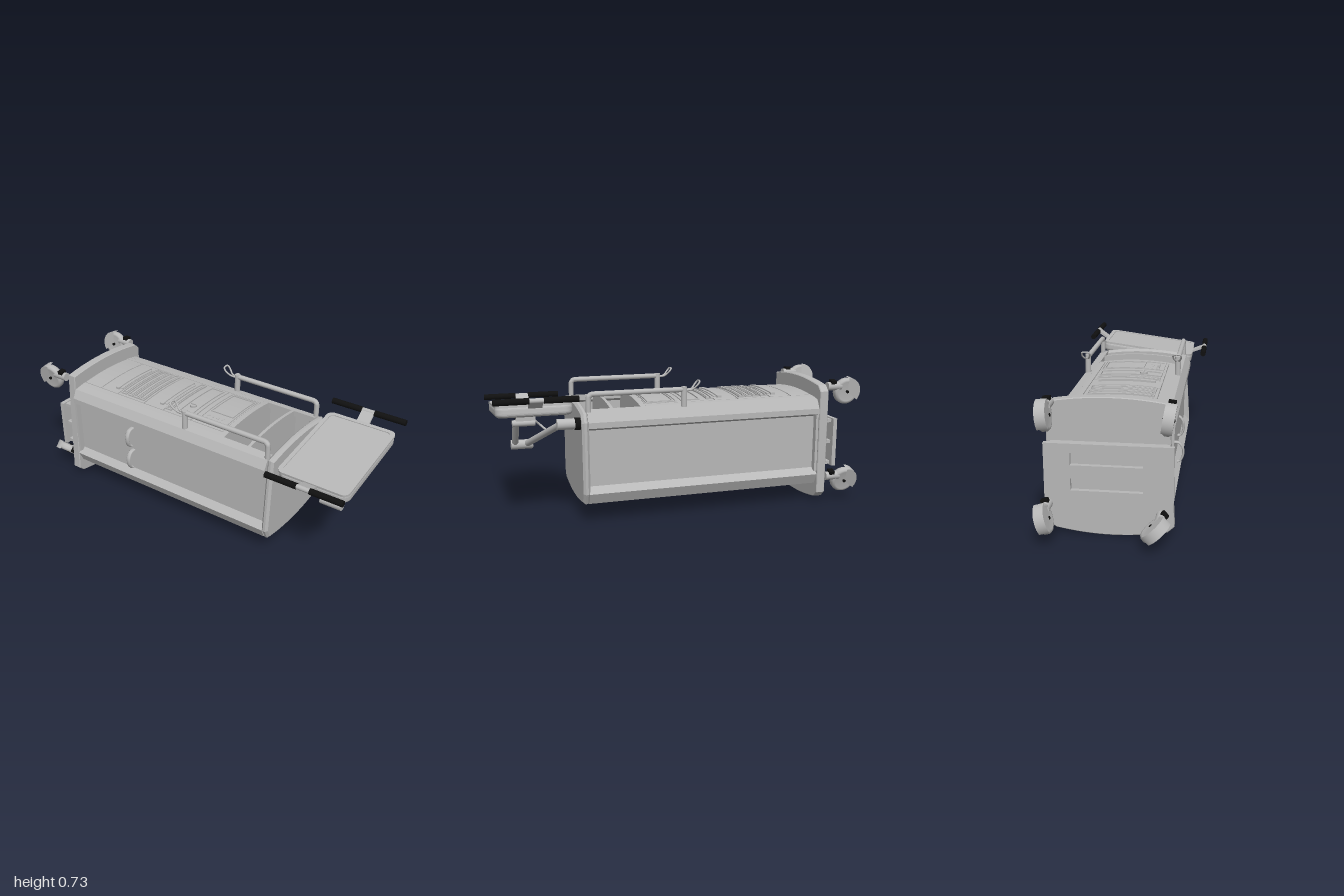
import * as THREE from 'three';

const grey = new THREE.MeshStandardMaterial({ color: 0xb8b8b8 });
grey.name = 'light grey';
const black = new THREE.MeshStandardMaterial({ color: 0x101010 });
black.name = 'black';

const V = (x, y, z) => new THREE.Vector3(x, y, z);

function add(parent, name, geo, mat = grey, x = 0, y = 0, z = 0) {
  const m = new THREE.Mesh(geo, mat);
  m.name = name;
  m.position.set(x, y, z);
  parent.add(m);
  return m;
}
const box = (p, name, w, h, d, x, y, z, mat) => add(p, name, new THREE.BoxGeometry(w, h, d), mat, x, y, z);

// straight round bar between two points
function bar(p, name, a, b, r, mat = grey, r2 = r) {
  const d = b.clone().sub(a);
  const m = add(p, name, new THREE.CylinderGeometry(r2, r, d.length(), 20), mat);
  m.position.copy(a).addScaledVector(d, 0.5);
  m.quaternion.setFromUnitVectors(V(0, 1, 0), d.normalize());
  return m;
}

// bowed cross-section with cut corners: half width, corner half width, bottom/top crowns, shoulders
function outline(hw, cw, yB, yBs, yL, yU, yTs, yT) {
  const s = new THREE.Shape();
  s.moveTo(-hw, yL);
  s.lineTo(-cw, yBs);
  s.quadraticCurveTo(0, 2 * yB - yBs, cw, yBs);
  s.lineTo(hw, yL);
  s.lineTo(hw, yU);
  s.lineTo(cw, yTs);
  s.quadraticCurveTo(0, 2 * yT - yTs, -cw, yTs);
  s.closePath();
  return s;
}
function slab(p, name, shape, z0, z1, bevel = 0) {
  const geo = new THREE.ExtrudeGeometry(shape, {
    depth: z1 - z0 - 2 * bevel, curveSegments: 20, bevelEnabled: bevel > 0,
    bevelSize: bevel, bevelThickness: bevel, bevelOffset: -bevel, bevelSegments: 1,
  });
  return add(p, name, geo, grey, 0, 0, z0 + bevel);
}

// crown of the upper and lower faces of the body
const topY = x => 0.613 - 0.024 * (x / 0.27) ** 2;
const botY = x => 0.083 + 0.026 * (x / 0.27) ** 2;
function band(p, name, x0, x1, z0, z1, lo, hi, f = topY) {
  const s = new THREE.Shape(), n = 14;
  for (let i = 0; i <= n; i++) { const x = x0 + (x1 - x0) * i / n; s[i ? 'lineTo' : 'moveTo'](x, f(x) + lo); }
  for (let i = n; i >= 0; i--) { const x = x0 + (x1 - x0) * i / n; s.lineTo(x, f(x) + hi); }
  s.closePath();
  return slab(p, name, s, z0, z1);
}
// thin raised rectangular frame following the crown
function frame(p, name, x0, x1, z0, z1, t, h) {
  band(p, name, x0, x1, z0, z0 + t, -0.004, h);
  band(p, name, x0, x1, z1 - t, z1, -0.004, h);
  band(p, name, x0, x0 + t, z0 + t, z1 - t, -0.004, h);
  band(p, name, x1 - t, x1, z0 + t, z1 - t, -0.004, h);
}

function roundRect(w, h, r) {
  const s = new THREE.Shape();
  const c = [[w - r, h - r, 0], [r - w, h - r, 1], [r - w, r - h, 2], [w - r, r - h, 3]];
  for (const [x, y, q] of c) s.absarc(x, y, r, q * Math.PI / 2, (q + 1) * Math.PI / 2);
  s.closePath();
  return s;
}

function caster(p, x, y, angle) {
  const g = new THREE.Group();
  g.name = 'caster';
  g.position.set(x, y, -0.925);
  g.rotation.z = angle;
  p.add(g);
  const prof = [[0.001, -0.018], [0.05, -0.018], [0.054, -0.022], [0.066, -0.02], [0.073, -0.01],
    [0.073, 0.01], [0.066, 0.02], [0.054, 0.022], [0.05, 0.018], [0.001, 0.018]];
  const wheel = add(g, 'wheel', new THREE.LatheGeometry(prof.map(a => new THREE.Vector2(...a)), 36));
  wheel.rotation.z = Math.PI / 2;
  // hood over the wheel
  const hood = add(g, 'wheelHood', new THREE.CylinderGeometry(0.078, 0.078, 0.05, 20, 1, false, 0, 2.2));
  hood.rotation.z = Math.PI / 2;
  hood.rotation.x = -1.6;
  bar(g, 'axle', V(-0.028, 0, 0), V(0.028, 0, 0), 0.008, black);
  bar(g, 'swivelStem', V(0, 0.03, 0.035), V(0, 0.03, 0.118), 0.024);
  box(g, 'brakePedal', 0.036, 0.03, 0.03, 0, 0.05, 0.085, black);
}

export function createModel() {
  const root = new THREE.Group();
  root.name = 'cart';
  const body = new THREE.Group();
  body.name = 'body';
  body.position.x = 0.017;
  root.add(body);

  // end plates and shelves
  slab(body, 'basePlate', outline(0.302, 0.27, 0.002, 0.03, 0.06, 0.635, 0.667, 0.69), -0.81, -0.76, 0.004);
  slab(body, 'frontCap', outline(0.295, 0.268, 0.08, 0.108, 0.165, 0.54, 0.588, 0.613), 0.525, 0.562, 0.012);
  for (const [z0, z1] of [[0.21, 0.24], [0.385, 0.402]])
    slab(body, 'shelf', outline(0.25, 0.235, 0.08, 0.104, 0.14, 0.56, 0.594, 0.615), z0, z1);

  // corner posts and recessed side panels
  for (const s of [-1, 1]) {
    const poly = pts => new THREE.Shape(pts.map(([x, y]) => new THREE.Vector2(s * x, y)));
    slab(body, 'upperPost', poly([[0.262, 0.495], [0.295, 0.51], [0.295, 0.54], [0.268, 0.588], [0.222, 0.597], [0.222, 0.565], [0.245, 0.55], [0.245, 0.495]]), -0.76, 0.53);
    slab(body, 'lowerPost', poly([[0.262, 0.2], [0.295, 0.165], [0.268, 0.108], [0.222, 0.1], [0.222, 0.13], [0.245, 0.15], [0.245, 0.2]]), -0.76, 0.53);
    box(body, 'sidePanel', 0.017, 0.32, 1.29, s * 0.2535, 0.35, -0.115);
    box(body, 'sideEndTrim', 0.03, 0.33, 0.015, s * 0.277, 0.35, -0.752);
  }

  // drawer stack and back cover
  band(body, 'backCover', -0.222, 0.222, -0.76, 0.225, 0, 0.015, botY);
  band(body, 'backCoverPlate', -0.19, 0.19, -0.7, 0.205, -0.007, 0.004, botY);
  const cuts = [-0.76, -0.635, -0.51, -0.32, -0.185, 0, 0.21];
  for (let i = 0; i < 6; i++) band(body, 'drawerFront', -0.186, 0.186, cuts[i] + 0.003, cuts[i + 1] - 0.003, -0.02, 0);
  band(body, 'drawerBacking', -0.222, 0.222, -0.76, 0.21, -0.025, -0.012);
  for (const x of [-0.222, 0.19]) band(body, 'drawerSurround', x, x + 0.032, -0.76, 0.21, -0.02, 0);

  // drawer pulls
  for (const z of [-0.545, -0.225]) {
    band(body, 'drawerPull', -0.15, 0.15, z - 0.012, z + 0.012, -0.003, 0.011);
    band(body, 'drawerPullStep', -0.135, 0.135, z + 0.012, z + 0.028, -0.003, 0.005);
  }
  // louvre slats
  for (const z of [-0.478, -0.432, -0.39, -0.35, -0.16]) {
    frame(body, 'louvreFrame', -0.172, 0.168, z - 0.018, z + 0.018, 0.005, 0.008);
    band(body, 'louvreSlat', -0.155, 0.15, z - 0.006, z + 0.006, -0.003, 0.007);
  }
  frame(body, 'lockFrame', -0.172, 0.168, -0.105, -0.02, 0.006, 0.007);
  bar(body, 'lock', V(-0.07, 0.6, -0.065), V(-0.07, 0.622, -0.065), 0.02);
  box(body, 'lockKey', 0.006, 0.008, 0.03, -0.07, 0.624, -0.065);
  // control panel with keys
  frame(body, 'controlPanelFrame', -0.172, 0.178, 0.03, 0.2, 0.005, 0.005);
  frame(body, 'displayFrame', -0.06, 0.165, 0.045, 0.188, 0.006, 0.006);
  for (let i = 0; i < 2; i++) for (let j = 0; j < 4; j++)
    box(body, 'key', 0.018, 0.006, 0.014, -0.135 + i * 0.035, 0.608, 0.06 + j * 0.03);

  // hand rails with looped ends
  for (const s of [-1, 1]) {
    const x = s * 0.252;
    const path = new THREE.CurvePath();
    const pts = [V(x, 0.58, 0.52), V(x, 0.665, 0.52), V(x, 0.68, 0.505), V(x, 0.68, 0.015)];
    for (let i = 0; i < 3; i++) path.add(new THREE.LineCurve3(pts[i], pts[i + 1]));
    add(body, 'handRail', new THREE.TubeGeometry(path, 80, 0.014, 12));
    bar(body, 'railPost', V(x, 0.57, 0.012), V(x, 0.694, 0.012), 0.016);
    const loop = new THREE.CatmullRomCurve3([V(x - 0.006, 0.675, 0), V(x - 0.01, 0.68, -0.03), V(x - 0.022, 0.705, -0.056),
      V(x - 0.018, 0.72, -0.068), V(x + 0.018, 0.72, -0.068), V(x + 0.022, 0.705, -0.056), V(x + 0.01, 0.68, -0.03), V(x + 0.006, 0.675, 0)]);
    add(body, 'railLoop', new THREE.TubeGeometry(loop, 40, 0.005, 8));
  }

  // cable hooks on one side
  for (const y of [0.275, 0.418]) {
    const hook = new THREE.CatmullRomCurve3([V(-0.258, y + 0.05, -0.35), V(-0.29, y + 0.045, -0.35), V(-0.308, y + 0.02, -0.35),
      V(-0.312, y, -0.35), V(-0.308, y - 0.03, -0.35), V(-0.295, y - 0.052, -0.35), V(-0.282, y - 0.056, -0.35)]);
    const m = add(body, 'cableHook', new THREE.TubeGeometry(hook, 30, 0.006, 8));
    m.scale.z = 2.4;
    m.position.z = 0.35 * 1.4;
  }

  // slotted plate on stand-offs behind the base
  const plate = new THREE.Shape([[-0.302, 0.21], [0.305, 0.21], [0.305, 0.48], [-0.302, 0.48]].map(a => new THREE.Vector2(...a)));
  for (const y of [0.25, 0.375])
    plate.holes.push(new THREE.Path([[-0.16, y], [-0.16, y + 0.06], [0.18, y + 0.06], [0.18, y]].map(a => new THREE.Vector2(...a))));
  slab(body, 'rearPlate', plate, -0.868, -0.845);
  for (const y of [0.225, 0.345, 0.465]) box(body, 'rearSpacer', 0.56, 0.018, 0.04, 0, y, -0.828);

  caster(root, -0.262, 0.63, 0.15);
  caster(root, 0.295, 0.63, -0.12);
  caster(root, 0.312, 0.125, -0.3);
  caster(root, -0.2, 0.1, 0.85);

  // jointed support arm
  const arm = new THREE.Group();
  arm.name = 'supportArm';
  root.add(arm);
  bar(arm, 'shoulderJoint', V(0.25, 0.53, 0.555), V(0.25, 0.53, 0.68), 0.028);
  bar(arm, 'shoulderCollar', V(0.255, 0.53, 0.56), V(0.255, 0.53, 0.59), 0.032, black);
  bar(arm, 'lowerArm', V(0.25, 0.53, 0.66), V(-0.09, 0.36, 0.8), 0.018);
  bar(arm, 'elbowJoint', V(-0.09, 0.36, 0.765), V(-0.09, 0.36, 0.882), 0.026);
  bar(arm, 'upperArm', V(-0.09, 0.36, 0.86), V(0.018, 0.5, 0.86), 0.018);
  bar(arm, 'wristJoint', V(0.018, 0.5, 0.76), V(0.018, 0.5, 0.88), 0.018);
  box(arm, 'trayBracket', 0.065, 0.035, 0.1, 0.013, 0.533, 0.81);
  box(arm, 'bracketClip', 0.02, 0.02, 0.02, 0.018, 0.54, 0.862, black);
  const cable = new THREE.CatmullRomCurve3([V(0.02, 0.52, 0.77), V(0.0, 0.48, 0.73), V(0.05, 0.46, 0.7), V(0.2, 0.52, 0.67)]);
  add(arm, 'armCable', new THREE.TubeGeometry(cable, 24, 0.006, 8));

  // tilted tray with grips
  const tray = new THREE.Group();
  tray.name = 'tray';
  tray.position.set(0, 0.577, 0.787);
  tray.rotation.z = 0.13;
  root.add(tray);
  const slabGeo = new THREE.ExtrudeGeometry(roundRect(0.262, 0.172, 0.03), {
    depth: 0.018, bevelSize: 0.02, bevelThickness: 0.02, bevelSegments: 5, curveSegments: 8 });
  slabGeo.rotateX(-Math.PI / 2);
  add(tray, 'trayBody', slabGeo, grey, 0, -0.01, 0);
  const rim = roundRect(0.28, 0.192, 0.035);
  rim.holes.push(roundRect(0.258, 0.17, 0.025));
  const rimGeo = new THREE.ExtrudeGeometry(rim, { depth: 0.012, bevelEnabled: false, curveSegments: 8 });
  rimGeo.rotateX(-Math.PI / 2);
  add(tray, 'trayRim', rimGeo, grey, 0, 0.02, 0);
  for (const s of [-1, 1]) {
    const strut = box(tray, 'gripStrut', 0.085, 0.012, 0.07, s * 0.31, 0.035, 0);
    strut.rotation.z = s * 0.5;
    bar(tray, 'gripCore', V(s * 0.35, 0.052, -0.05), V(s * 0.35, 0.052, 0.05), 0.013);
    for (const e of [-1, 1])
      bar(tray, 'grip', V(s * 0.35, 0.052, e * 0.035), V(s * 0.35, 0.052, e * 0.208), 0.016, black);
  }
  return root;
}
